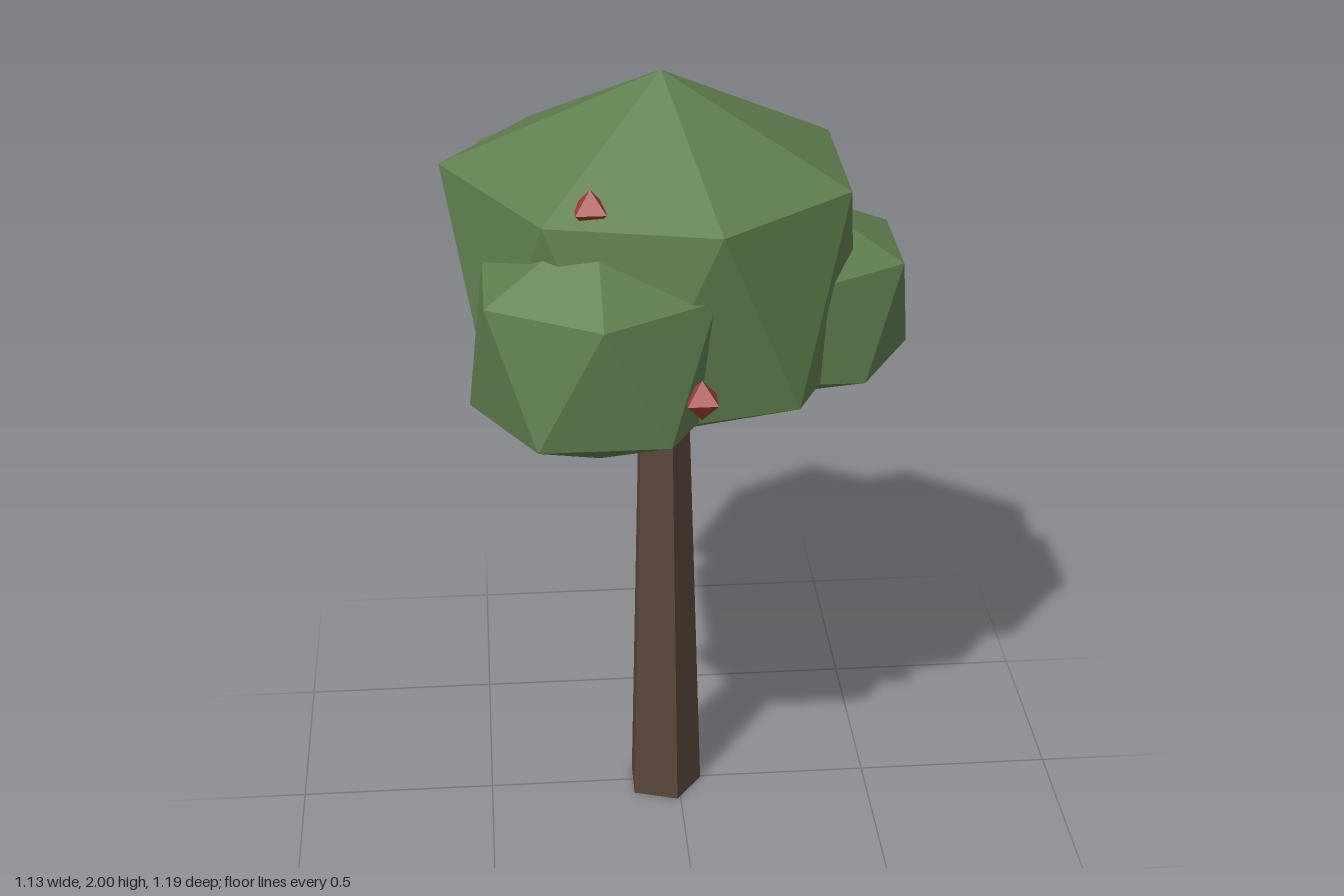
import * as THREE from 'three';

// Faceted leaf clump: two poles and two staggered rings of n corners.
// tweaks moves single corners (index: [dx, dy, dz]); 0..n-1 upper ring, n..2n-1 lower ring.
function clumpGeometry(n, rh, rv, tweaks = {}) {
  const points = [];
  const ring = rh * Math.sin(Math.PI / 3);
  for (const [offset, y] of [[0.5, rv / 2], [0, -rv / 2]]) {
    for (let k = 0; k < n; k++) {
      const a = (k + offset) / n * Math.PI * 2;
      points.push([ring * Math.cos(a), y, ring * Math.sin(a)]);
    }
  }
  for (const [i, d] of Object.entries(tweaks)) points[i] = points[i].map((v, j) => v + d[j]);
  const top = points.push([0, rv, 0]) - 1;
  const bottom = points.push([0, -rv, 0]) - 1;

  const faces = [];
  for (let k = 0; k < n; k++) {
    const k1 = (k + 1) % n;
    faces.push(top, k1, k, k, n + k1, n + k, n + k1, k, k1, bottom, n + k, n + k1);
  }
  const indexed = new THREE.BufferGeometry();
  indexed.setAttribute('position', new THREE.Float32BufferAttribute(points.flat(), 3));
  indexed.setIndex(faces);
  const geometry = indexed.toNonIndexed();
  geometry.computeVertexNormals();
  return geometry;
}

export function createModel() {
  const tree = new THREE.Group();
  tree.name = 'tree';

  const material = (name, color) => {
    const m = new THREE.MeshStandardMaterial({ color, flatShading: true });
    m.name = name;
    return m;
  };
  const bark = material('bark brown', 0x5b473a);
  const leaf = material('leaf green', 0x5f7f4f);
  const red = material('berry red', 0xa03c36);

  const add = (name, geometry, mat, x, y, z) => {
    const mesh = new THREE.Mesh(geometry, mat);
    mesh.name = name;
    mesh.position.set(x, y, z);
    tree.add(mesh);
    return mesh;
  };

  // Tapered five-sided trunk, ending inside the crown
  add('trunk', new THREE.CylinderGeometry(0.066, 0.1, 1.2, 5, 1, false, Math.PI / 2),
    bark, -0.04, 0.6, 0.005);

  // Crown and the three smaller clumps around it
  add('crown', clumpGeometry(7, 0.55, 0.475, { 3: [-0.05, 0.02, 0], 12: [0, -0.01, -0.03] }),
    leaf, -0.04, 1.525, 0);
  add('frontClump', clumpGeometry(6, 0.35, 0.31), leaf, -0.21, 1.445, 0.29);
  add('backClump', clumpGeometry(6, 0.35, 0.3), leaf, -0.21, 1.525, -0.29);
  add('leftClump', clumpGeometry(6, 0.315, 0.265, { 11: [0.03, 0, -0.035] }),
    leaf, 0.295, 1.415, 0);

  // Berries
  const berry = new THREE.OctahedronGeometry(0.05);
  berry.rotateY(Math.PI / 4);
  [[-0.225, 1.79, 0.34], [0.015, 1.382, 0.497], [-0.08, 1.38, -0.47]]
    .forEach((p, i) => add('berry' + (i + 1), berry, red, ...p));

  return tree;
}
